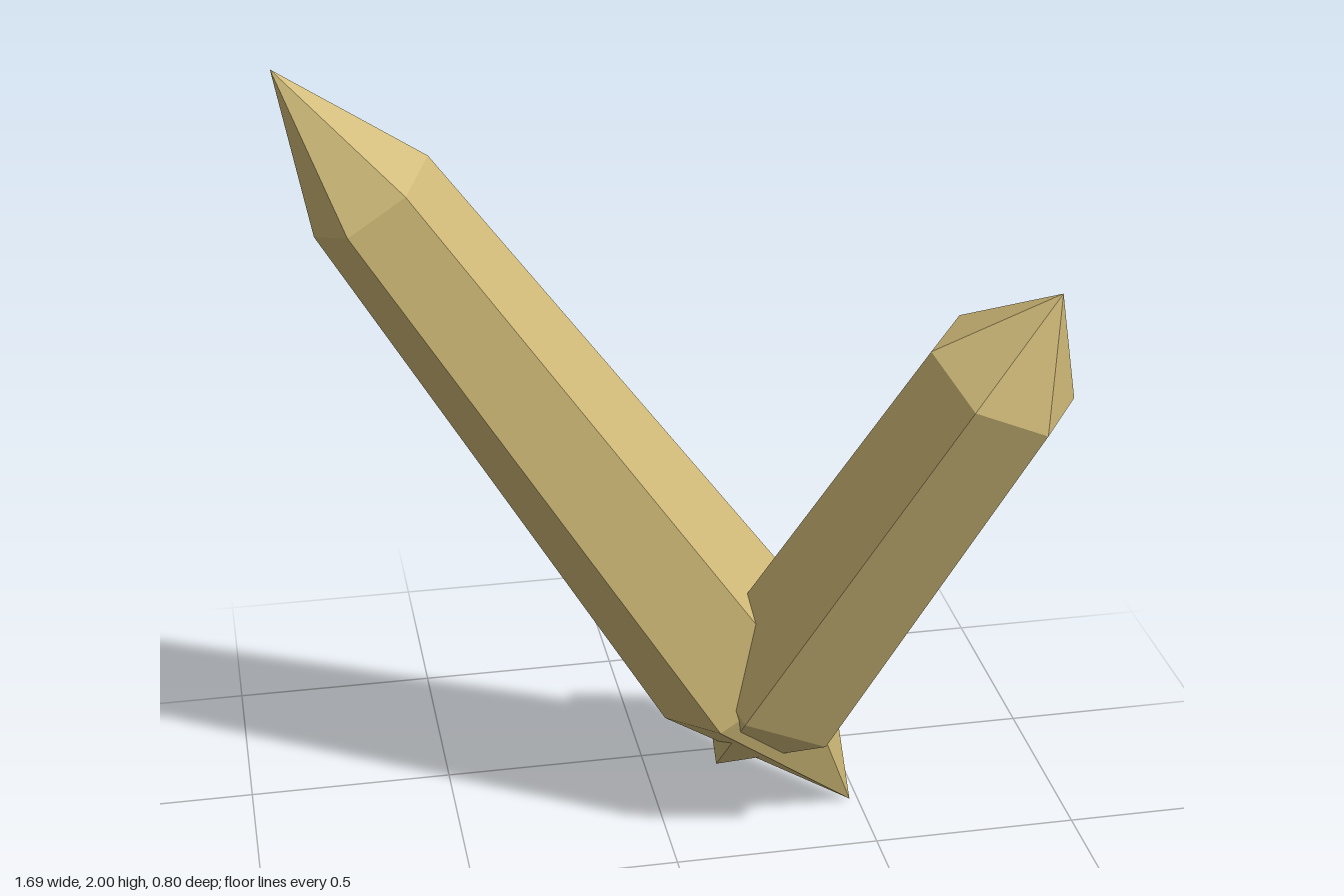
import * as THREE from 'three';

const material = new THREE.MeshStandardMaterial({ color: 0xd0ba78, flatShading: true });

// Six-sided crystal between two tips; rings are [distance from bottom tip, radius].
// One edge of the prism lies in the direction closest to `side`.
function crystal(name, bottom, top, side, rings) {
  const start = new THREE.Vector3(...bottom);
  const axis = new THREE.Vector3(...top).sub(start);
  const length = axis.length();
  axis.normalize();

  const profile = [[0, 0], ...rings, [length, 0]].map(([h, r]) => new THREE.Vector2(r, h));
  const mesh = new THREE.Mesh(new THREE.LatheGeometry(profile, 6), material);

  const edge = new THREE.Vector3(...side);
  edge.addScaledVector(axis, -edge.dot(axis)).normalize();
  const across = new THREE.Vector3().crossVectors(axis, edge);
  mesh.quaternion.setFromRotationMatrix(new THREE.Matrix4().makeBasis(across, axis, edge));
  mesh.position.copy(start);
  mesh.name = name;
  return mesh;
}

export function createModel() {
  const group = new THREE.Group();
  group.name = 'crystalCluster';

  // Long crystal leaning to the model's right
  group.add(crystal('longCrystal', [0.48, 0.005, -0.2], [-0.848, 2, -0.2], [0.831, 0.556, 0],
    [[0.503, 0.233], [2.034, 0.155]]));

  // Short crystal leaning forward and to the model's left
  group.add(crystal('shortCrystal', [0.15, 0.105, -0.268], [0.77, 1.58, 0.345], [0.926, -0.377, 0],
    [[0.362, 0.215], [1.455, 0.18]]));

  return group;
}
